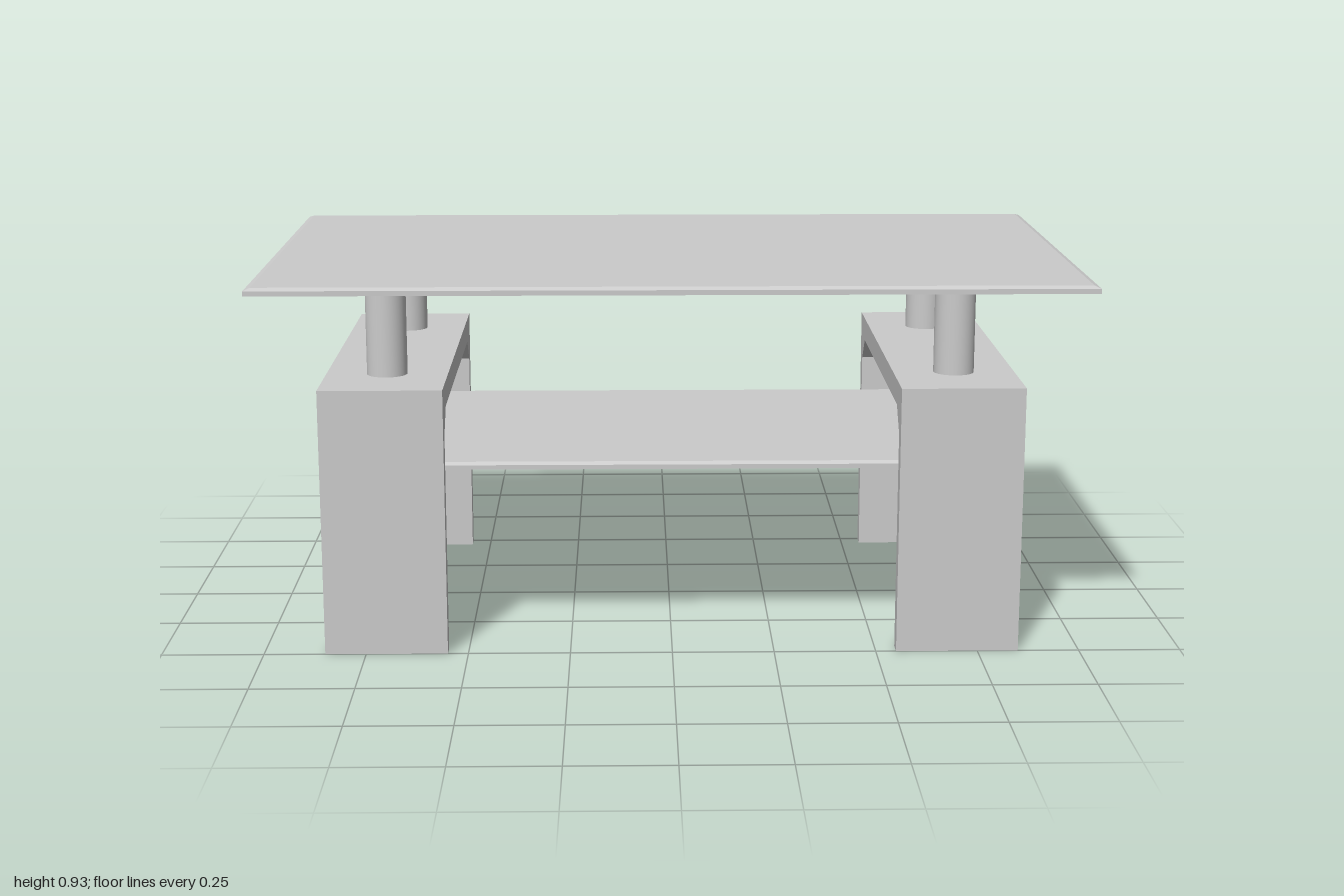
import * as THREE from 'three';

const grey = new THREE.MeshStandardMaterial({ color: 0xcccccc });

function add(parent, name, geometry, x = 0, y = 0, z = 0) {
  const mesh = new THREE.Mesh(geometry, grey);
  mesh.name = name;
  mesh.position.set(x, y, z);
  parent.add(mesh);
  return mesh;
}

// Flat pane whose upper edge is slightly bevelled; its base sits at y = 0
function paneGeometry(width, height, depth, inset, drop) {
  const box = new THREE.BoxGeometry(width, height, depth, 1, 2, 1);
  const p = box.attributes.position;
  for (let i = 0; i < p.count; i++) {
    const y = p.getY(i);
    if (y > height * 0.25) {
      p.setX(i, p.getX(i) - Math.sign(p.getX(i)) * inset);
      p.setZ(i, p.getZ(i) - Math.sign(p.getZ(i)) * inset);
    } else if (y > -height * 0.25) {
      p.setY(i, height / 2 - drop);
    }
  }
  box.translate(0, height / 2, 0);
  const flat = box.toNonIndexed();
  flat.computeVertexNormals();
  return flat;
}

// Arched leg frame with chamfered inner corners, extruded along x
function archGeometry(width) {
  const half = [[0.5, 0.66], [0.5, 0], [0.46, 0], [0.46, 0.54], [0.4, 0.6]];
  const mirrored = half.map(([z, y]) => [-z, y]).reverse();
  const shape = new THREE.Shape([...half, ...mirrored].map(([z, y]) => new THREE.Vector2(z, y)));
  const geometry = new THREE.ExtrudeGeometry(shape, { depth: width, bevelEnabled: false });
  geometry.translate(0, 0, -width / 2);
  geometry.rotateY(Math.PI / 2);
  return geometry;
}

export function createModel() {
  const table = new THREE.Group();
  table.name = 'coffeeTable';

  add(table, 'tableTop', paneGeometry(2, 0.018, 1.2, 0.015, 0.006), 0, 0.907, 0);
  add(table, 'lowerShelf', paneGeometry(1.66, 0.017, 0.83, 0.012, 0.006), 0, 0.443, 0);

  const arch = archGeometry(0.3);
  // Column from the underside of the shelf to the table top
  const column = new THREE.CylinderGeometry(0.05, 0.05, 0.4645, 32);
  const flange = new THREE.CylinderGeometry(0.056, 0.052, 0.005, 32);

  for (const side of [1, -1]) {
    const label = side > 0 ? 'left' : 'right';
    add(table, label + 'LegFrame', arch, side * 0.7, 0, 0);
    for (const end of [1, -1]) {
      const corner = label + (end > 0 ? 'Front' : 'Back');
      add(table, corner + 'Column', column, side * 0.7, 0.67475, end * 0.3);
      add(table, corner + 'ColumnFlange', flange, side * 0.7, 0.9045, end * 0.3);
    }
  }
  return table;
}
